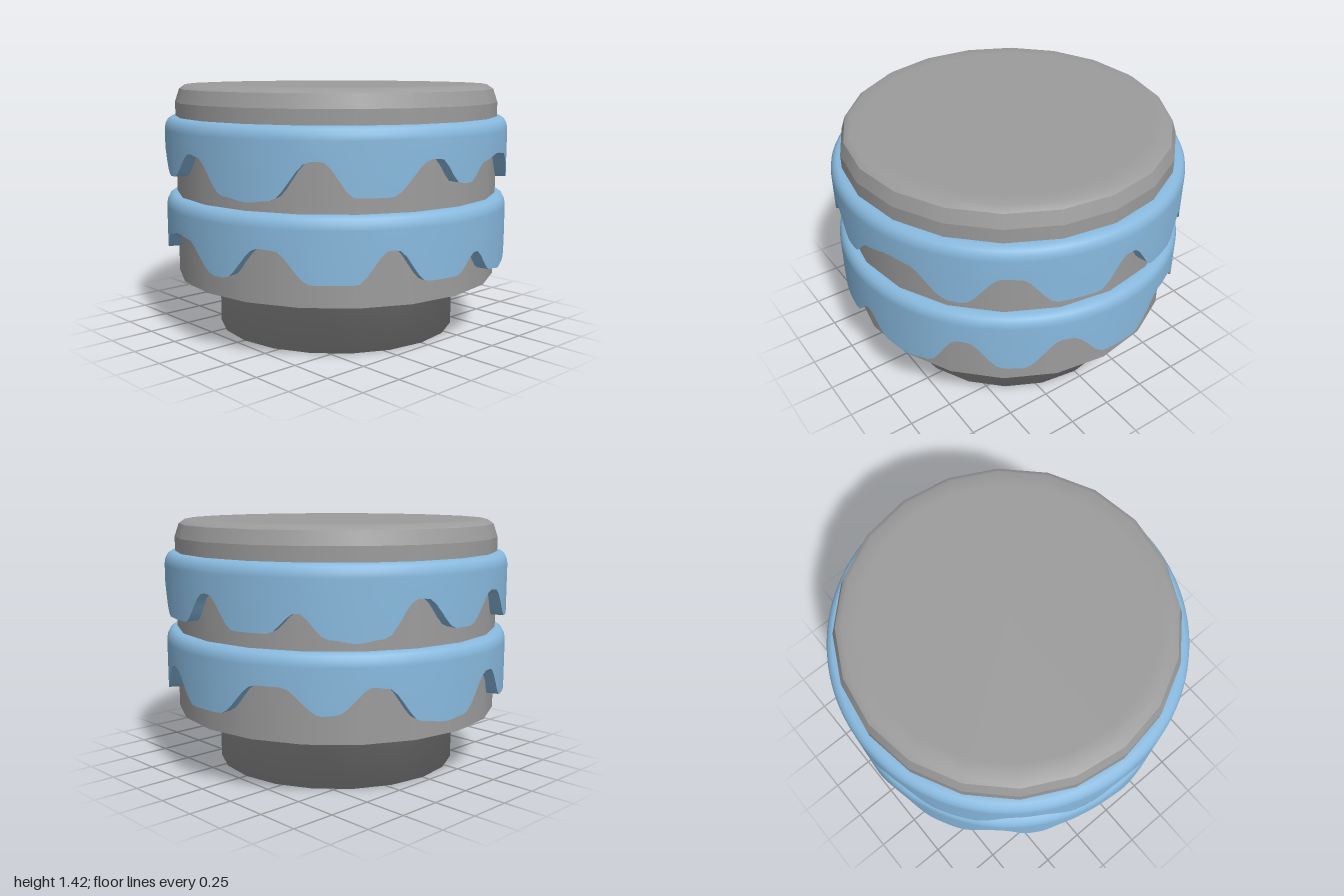
import * as THREE from 'three';

const grey = new THREE.MeshStandardMaterial({ color: 0x9c9c9c });
grey.name = 'grey';
const blue = new THREE.MeshStandardMaterial({ color: 0x88b9de });
blue.name = 'light blue';

// Lower edge of a dripping band: angle in degrees from the front, height
const drips = [
  [1, 1.06], [12, 0.875], [21, 0.855], [28, 0.87], [40, 1.07], [43, 1.07], [53, 0.89], [63, 0.89],
  [76, 1.07], [79, 1.07], [87, 0.935], [91, 0.93], [99, 1.03], [108, 1.06], [115, 1.05], [128, 0.89],
  [132, 0.89], [144, 1.065], [149, 1.06], [160, 0.895], [173, 0.895], [183, 1.065], [185, 1.065],
  [195, 0.89], [206, 0.89], [215, 1.0], [224, 0.87], [232, 0.85], [240, 0.87], [250, 1.06], [253, 1.06],
  [264, 0.895], [270, 0.895], [282, 1.065], [285, 1.06], [297, 0.89], [309, 0.89], [322, 1.065],
  [330, 1.065], [342, 0.925], [346, 0.93], [357, 1.07], [361, 1.06],
];

function dripHeight(deg) {
  const a = deg < 1 ? deg + 360 : deg;
  let i = 0;
  while (i < drips.length - 2 && drips[i + 1][0] < a) i++;
  const [a0, y0] = drips[i], [a1, y1] = drips[i + 1];
  return THREE.MathUtils.lerp(y0, y1, THREE.MathUtils.smoothstep(a, a0, a1));
}

// Sweeps a profile around y; profileAt(deg) gives [radius, height] points
function sweep(profileAt, steps) {
  const pos = [], index = [];
  let n = 0;
  for (let i = 0; i < steps; i++) {
    const deg = (i * 360) / steps, t = THREE.MathUtils.degToRad(deg);
    const profile = profileAt(deg);
    n = profile.length;
    for (const [r, y] of profile) pos.push(r * Math.sin(t), y, r * Math.cos(t));
  }
  for (let i = 0; i < steps; i++) {
    for (let j = 0; j < n - 1; j++) {
      const a = i * n + j, b = ((i + 1) % steps) * n + j;
      index.push(a, b, b + 1, a, b + 1, a + 1);
    }
  }
  const g = new THREE.BufferGeometry();
  g.setAttribute('position', new THREE.Float32BufferAttribute(pos, 3));
  g.setIndex(index);
  g.computeVertexNormals();
  return g;
}

function mesh(name, geometry, material) {
  const m = new THREE.Mesh(geometry, material);
  m.name = name;
  return m;
}

function lathe(name, points) {
  return mesh(name, new THREE.LatheGeometry(points.map(p => new THREE.Vector2(...p)), 20), grey);
}

function createBand(name) {
  const band = new THREE.Group();
  band.name = name;
  // Outer wall with a rounded top rim
  band.add(mesh('bandWall', sweep(d => [
    [1, dripHeight(d)], [1, 1.17], [0.995, 1.2], [0.982, 1.225], [0.96, 1.24], [0.92, 1.24],
  ], 180), blue));
  // Thickness along the wavy lower edge
  band.add(mesh('bandLowerEdge', sweep(d => [[0.92, dripHeight(d)], [1, dripHeight(d)]], 180), blue));
  return band;
}

export function createModel() {
  const model = new THREE.Group();
  model.name = 'bandedDrum';

  // Narrow foot flowing softly into the underside
  model.add(lathe('footAndUnderside', [[0, 0], [0.7, 0], [0.7, 0.32], [0.94, 0.32]]));
  // Drum wall, bevel and top
  model.add(lathe('drumWall', [[0.94, 0.32], [0.94, 1.32]]));
  model.add(lathe('drumBevel', [[0.94, 1.32], [0.915, 1.395]]));
  model.add(lathe('drumTop', [[0.915, 1.395], [0.88, 1.42], [0.8, 1.42], [0, 1.42]]));

  // Two matching bands, the lower one turned by a third
  const upper = createBand('upperBand');
  const lower = createBand('lowerBand');
  lower.position.y = -0.44;
  lower.rotation.y = THREE.MathUtils.degToRad(-120);
  model.add(upper, lower);
  return model;
}
